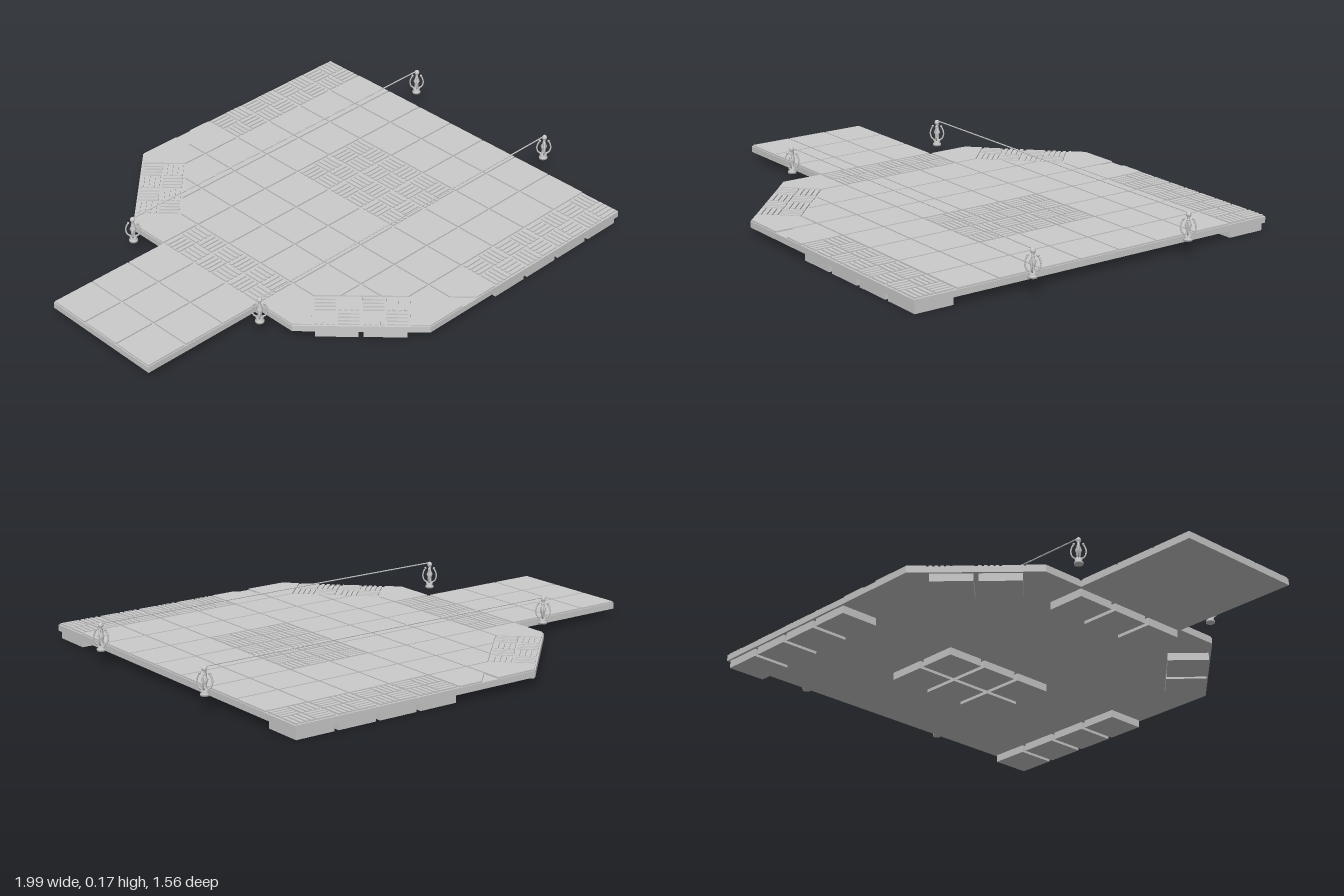
import * as THREE from 'three';
import { mergeGeometries } from 'three/addons/utils/BufferGeometryUtils.js';

const P = 0.1732;            // tile pitch
const X0 = -1, Z0 = -4.5 * P; // corner of the tile grid
const GAP = 0.0035;          // half of a seam
const TOP = 0.06, BED = 0.054, UNDER = 0.03;

export function createModel() {
  const model = new THREE.Group();
  const grey = new THREE.MeshStandardMaterial({ color: 0xcccccc, flatShading: true });
  const smooth = new THREE.MeshStandardMaterial({ color: 0xcccccc });

  const add = (parent, name, geometry, material = grey) => {
    const mesh = new THREE.Mesh(geometry, material);
    mesh.name = name;
    parent.add(mesh);
    return mesh;
  };
  // Flat slab from [x, z] corners between two heights
  const slab = (points, y0, y1) => {
    const shape = new THREE.Shape(points.map(([x, z]) => new THREE.Vector2(x, -z)));
    return new THREE.ExtrudeGeometry(shape, { depth: y1 - y0, bevelEnabled: false })
      .rotateX(-Math.PI / 2).translate(0, y0, 0);
  };
  const box = (w, h, d, x, y, z) => new THREE.BoxGeometry(w, h, d).translate(x, y, z);

  // Deck bed: octagon cut on one side, with a walkway leading off it
  const xl = X0 + 3 * P, xc = xl + 2 * P, xr = X0 + 11 * P;
  const half = [[X0, 1.5 * P], [xl, 1.5 * P], [xl, 2.5 * P], [xc, 4.5 * P], [xr, 4.5 * P]];
  const mirrored = half.map(([x, z]) => [x, -z]).reverse();
  add(model, 'deckBed', slab([...half, ...mirrored], UNDER, BED));

  // Keep the part of a polygon on the inner side of the corner strips
  const limit = xl - 2.5 * P + P * Math.SQRT2 + GAP;
  const clip = (points) => {
    const side = ([x, z]) => x - Math.abs(z) - limit;
    const out = [];
    points.forEach((a, i) => {
      const b = points[(i + 1) % points.length];
      const sa = side(a), sb = side(b);
      if (sa >= 0) out.push(a);
      if (sa * sb < 0) {
        const t = sa / (sa - sb);
        out.push([a[0] + (b[0] - a[0]) * t, a[1] + (b[1] - a[1]) * t]);
      }
    });
    return out;
  };

  // Woven tile: four squares of ribs in alternating directions
  const ribs = [];
  for (const sx of [-1, 1]) for (const sz of [-1, 1]) for (let k = 0; k < 4; k++) {
    const off = (k - 1.5) * 0.0205, c = P / 4 - 0.001;
    const along = sx === sz;
    ribs.push(along
      ? box(0.077, TOP - BED, 0.0125, sx * c, (TOP + BED) / 2, sz * c + off)
      : box(0.0125, TOP - BED, 0.077, sx * c + off, (TOP + BED) / 2, sz * c));
  }
  const weave = mergeGeometries(ribs);
  const foot = box(0.155, UNDER + 0.005, 0.155, 0, (UNDER + 0.005) / 2, 0);
  const wovenTile = (parent, x, z) => {
    const tile = new THREE.Group();
    tile.name = 'wovenTile';
    tile.position.set(x, 0, z);
    add(tile, 'ribs', weave);
    add(tile, 'footBlock', foot);
    parent.add(tile);
  };

  // Tile grid: plain tiles merged, woven tiles placed one by one
  const plain = [];
  for (let i = 0; i < 11; i++) for (let j = 0; j < 9; j++) {
    const middle = j >= 3 && j <= 5;
    const edge = j === 0 || j === 8;
    if (i < 3 && !middle) continue;
    if ((edge && i >= 7) || (middle && [3, 7, 8].includes(i))) {
      wovenTile(model, X0 + (i + 0.5) * P, Z0 + (j + 0.5) * P);
      continue;
    }
    // Cells shaped by the cut corners are made below
    if ((edge && i <= 5) || (i === 3 && !middle)) continue;
    const x0 = X0 + i * P + GAP, x1 = X0 + (i + 1) * P - GAP;
    const z0 = Z0 + j * P + GAP, z1 = Z0 + (j + 1) * P - GAP;
    const rect = [[x0, z0], [x1, z0], [x1, z1], [x0, z1]];
    // The walkway lies outside the corner strips and stays whole
    plain.push(slab(i > 3 ? clip(rect) : rect, BED, TOP));
  }

  // Cut corners: two five-sided tiles beside a diagonal pair of woven tiles
  const q = P * Math.SQRT1_2;
  const cx = xl + P + q / 2, cz = 3.5 * P - q / 2;
  const inset = (points) => {
    const n = points.length;
    const mx = points.reduce((s, p) => s + p[0], 0) / n;
    const mz = points.reduce((s, p) => s + p[1], 0) / n;
    return points.map(([x, z]) => [mx + (x - mx) * 0.96, mz + (z - mz) * 0.96]);
  };
  for (const s of [-1, 1]) {
    const outer = [[xc, 4.5 * P], [xc + P, 4.5 * P], [xc + P, 3.5 * P],
      [cx + 1.5 * q, cz + q / 2], [cx + q / 2, cz + 1.5 * q]];
    const inner = [[xl, 2.5 * P], [xl, 1.5 * P], [xl + P, 1.5 * P],
      [cx - q / 2, cz - 1.5 * q], [cx - 1.5 * q, cz - q / 2]];
    for (const poly of [outer, inner]) {
      plain.push(slab(inset(poly).map(([x, z]) => [x, z * s]), BED, TOP));
    }
    const corner = new THREE.Group();
    corner.name = 'cornerTiles';
    corner.position.set(cx, 0, s * cz);
    corner.rotation.y = -s * Math.PI / 4;
    for (const k of [-0.5, 0.5]) wovenTile(corner, k * P, 0);
    model.add(corner);
  }
  add(model, 'plainTiles', mergeGeometries(plain));

  // Ornate rope posts: turned stem with four curved arms
  const stem = new THREE.LatheGeometry([
    [0, 0.062], [0.017, 0.062], [0.017, 0.07], [0.011, 0.075], [0.015, 0.083], [0.007, 0.09],
    [0.009, 0.108], [0.013, 0.118], [0.007, 0.13], [0.005, 0.148], [0.009, 0.153],
    [0.01, 0.16], [0.006, 0.167], [0, 0.169],
  ].map(([r, y]) => new THREE.Vector2(r, y)), 12);
  const armPath = new THREE.CatmullRomCurve3(
    [[0.008, 0.084], [0.021, 0.092], [0.027, 0.11], [0.024, 0.128], [0.017, 0.141]]
      .map(([r, y]) => new THREE.Vector3(r, y, 0)));
  const arms = [];
  for (let k = 0; k < 4; k++) {
    const a = Math.PI / 4 + k * Math.PI / 2;
    arms.push(new THREE.TubeGeometry(armPath, 12, 0.0032, 6).rotateY(a));
    arms.push(new THREE.SphereGeometry(0.0048, 8, 6).translate(0.017, 0.142, 0).rotateY(a));
  }
  const armGeometry = mergeGeometries(arms);

  const postXs = [-0.553, 0.972];
  for (const z of [-0.344, 0.344]) {
    for (const x of postXs) {
      const post = new THREE.Group();
      post.name = 'ropePost';
      post.position.set(x, 0, z);
      add(post, 'stem', stem, smooth);
      add(post, 'arms', armGeometry, smooth);
      model.add(post);
    }
    // Taut rope between the two posts of a side
    const length = postXs[1] - postXs[0];
    const rope = new THREE.CylinderGeometry(0.0025, 0.0025, length, 8).rotateZ(Math.PI / 2);
    add(model, 'rope', rope, smooth).position.set((postXs[0] + postXs[1]) / 2, 0.165, z);
  }
  return model;
}
